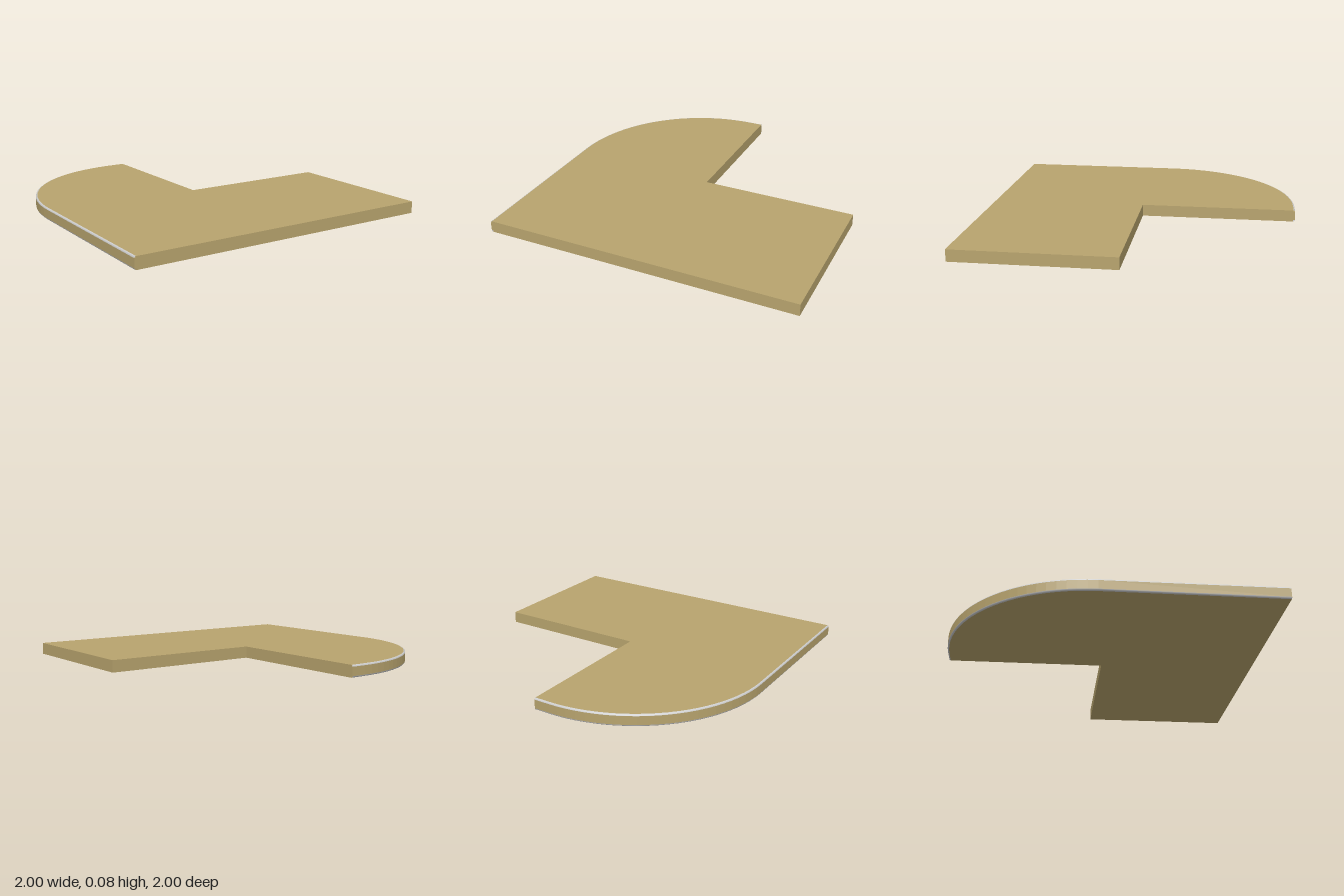
import * as THREE from 'three';

const H = 0.075;   // slab thickness
const B = 0.01;    // size of the eased edge
const R = 0.9;     // big corner radius
const STEPS = 24;

const wood = new THREE.MeshStandardMaterial({ color: 0xb8a46e });
const trim = new THREE.MeshStandardMaterial({ color: 0xcccccc, side: THREE.DoubleSide });

// Outer edge in plan [x, z], from the front up the side and round the big corner
function edge(inset) {
  const r = R - inset, c = R - 1;
  const pts = [[-1 + inset, 1]];
  for (let i = 0; i <= STEPS; i++) {
    const a = (i / STEPS) * Math.PI / 2;
    pts.push([c - r * Math.cos(a), c - r * Math.sin(a)]);
  }
  pts.push([0, -1 + inset]);
  return pts;
}

// L-shaped slab between two heights
function slab(name, inset, y0, y1) {
  const plan = [...edge(inset), [0, 0], [1, 0], [1, 1]];
  const shape = new THREE.Shape(plan.map(([x, z]) => new THREE.Vector2(x, -z)));
  const geo = new THREE.ExtrudeGeometry(shape, { depth: y1 - y0, bevelEnabled: false });
  geo.rotateX(-Math.PI / 2).translate(0, y0, 0);
  const mesh = new THREE.Mesh(geo, wood);
  mesh.name = name;
  return mesh;
}

// Rounded strip along the outer edge; dir is +1 for the top, -1 for the bottom
function easedEdge(name, dir) {
  const loops = [];
  for (let k = 0; k <= 3; k++) {
    const a = (k / 3) * Math.PI / 2;
    const y = H / 2 + dir * (H / 2 - B + B * Math.sin(a));
    loops.push(edge(B * (1 - Math.cos(a))).map(([x, z]) => [x, y, z]));
  }
  const n = loops[0].length, index = [];
  for (let k = 0; k < 3; k++) {
    for (let i = 0; i < n - 1; i++) {
      const a = k * n + i, b = a + 1, c = a + n, d = c + 1;
      if (dir > 0) index.push(a, c, b, b, c, d);
      else index.push(a, b, c, b, d, c);
    }
  }
  const geo = new THREE.BufferGeometry();
  geo.setAttribute('position', new THREE.Float32BufferAttribute(loops.flat(2), 3));
  geo.setIndex(index);
  geo.computeVertexNormals();
  // Outward direction check: flip the winding if the strip faces inward
  if (geo.attributes.normal.getX(0) > 0) {
    geo.setIndex(index.reverse());
    geo.computeVertexNormals();
  }
  const mesh = new THREE.Mesh(geo, trim);
  mesh.name = name;
  return mesh;
}

export function createModel() {
  const group = new THREE.Group();
  group.name = 'cornerWorktop';
  group.add(
    slab('worktop', B, 0, H),
    slab('worktopSide', 0, B, H - B),
    easedEdge('topEdge', 1),
    easedEdge('bottomEdge', -1),
  );
  return group;
}
